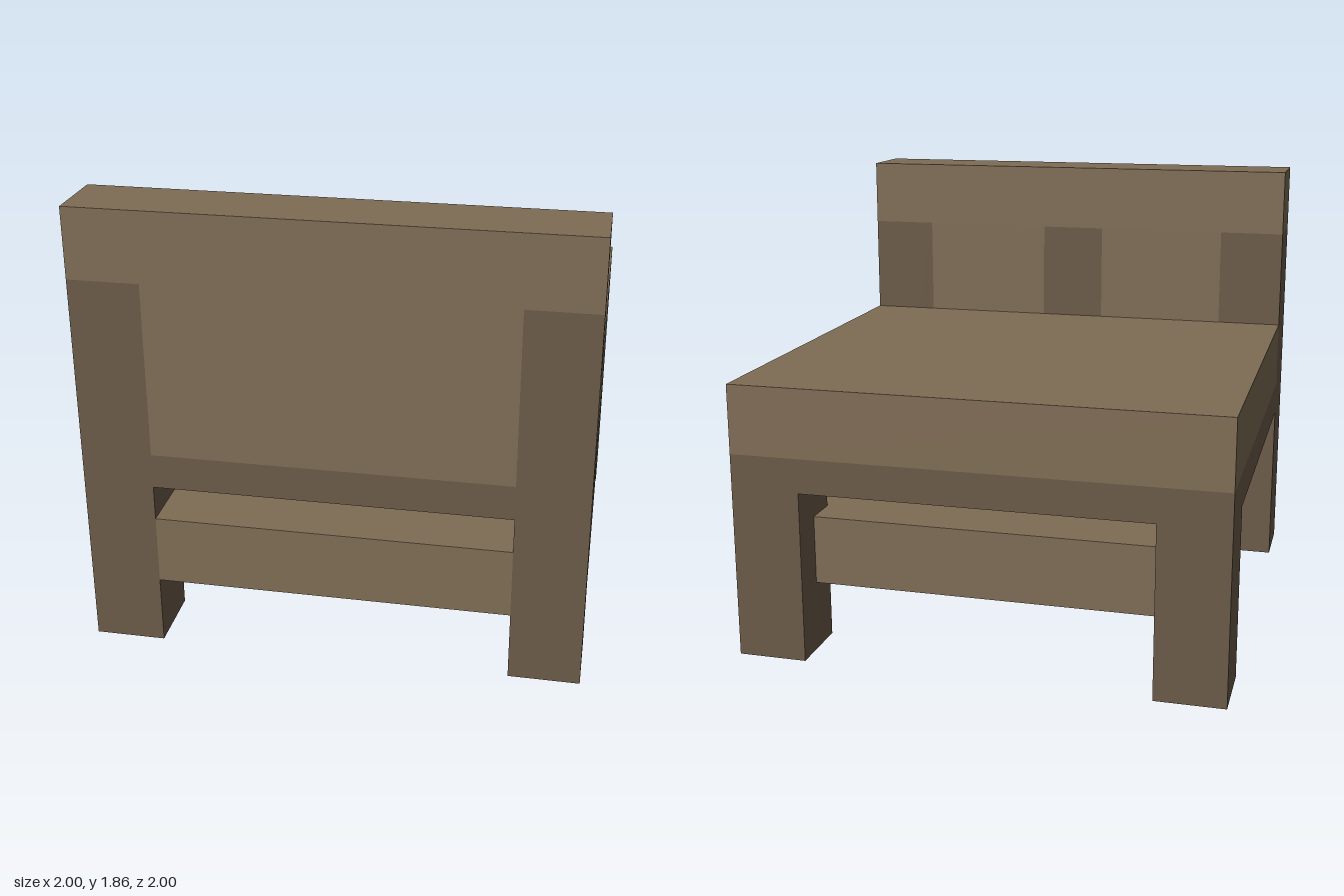
import * as THREE from 'three';

const U = 2 / 14; // the chair sits on a 14 x 13 x 14 block grid

const light = new THREE.MeshStandardMaterial({ color: 0x7e6c55 });
const dark = new THREE.MeshStandardMaterial({ color: 0x6a5a47 });

export function createModel() {
  const chair = new THREE.Group();
  chair.name = 'chair';

  // Box between two grid corners, each [x, y, z] in blocks
  const block = (name, material, a, b) => {
    const size = a.map((v, i) => (b[i] - v) * U);
    const mid = a.map((v, i) => ((b[i] + v) / 2) * U);
    const mesh = new THREE.Mesh(new THREE.BoxGeometry(...size), material);
    mesh.name = name;
    mesh.position.set(mid[0] - 1, mid[1], mid[2] - 1);
    chair.add(mesh);
  };

  // Corner legs: short under the seat, tall posts beside the backrest
  for (const [side, x] of [['right', 0], ['left', 12]]) {
    block(side + 'SeatLeg', dark, [x, 0, 0], [x + 2, 6, 2]);
    block(side + 'BackrestPost', dark, [x, 0, 12], [x + 2, 11, 14]);
  }

  // Apron ring, one block thick, hollow under the seat
  for (const [side, x] of [['right', 0], ['left', 13]]) {
    block(side + 'Apron', dark, [x, 5, 2], [x + 1, 6, 12]);
  }
  for (const [side, z] of [['seatEnd', 0], ['backrest', 13]]) {
    block(side + 'Apron', dark, [2, 5, z], [12, 6, z + 1]);
  }

  // Stretchers: two flush with the legs, two set in by one block
  block('leftStretcher', light, [12, 2, 2], [14, 4, 12]);
  block('rightStretcher', light, [1, 2, 2], [3, 4, 12]);
  block('backrestStretcher', light, [2, 2, 12], [12, 4, 14]);
  block('seatEndStretcher', light, [2, 2, 1], [12, 4, 3]);

  // Seat cushion
  block('seat', light, [0, 6, 0], [14, 8, 12]);

  // Backrest: cap, outer panel, and an inner layer split by a middle post
  block('backrestCap', light, [0, 11, 12], [14, 13, 14]);
  block('backrestOuterPanel', light, [2, 6, 13], [12, 11, 14]);
  block('backrestRightPanel', light, [2, 6, 12], [6, 11, 13]);
  block('backrestMiddlePost', dark, [6, 6, 12], [8, 11, 13]);
  block('backrestLeftPanel', light, [8, 6, 12], [12, 11, 13]);

  return chair;
}
